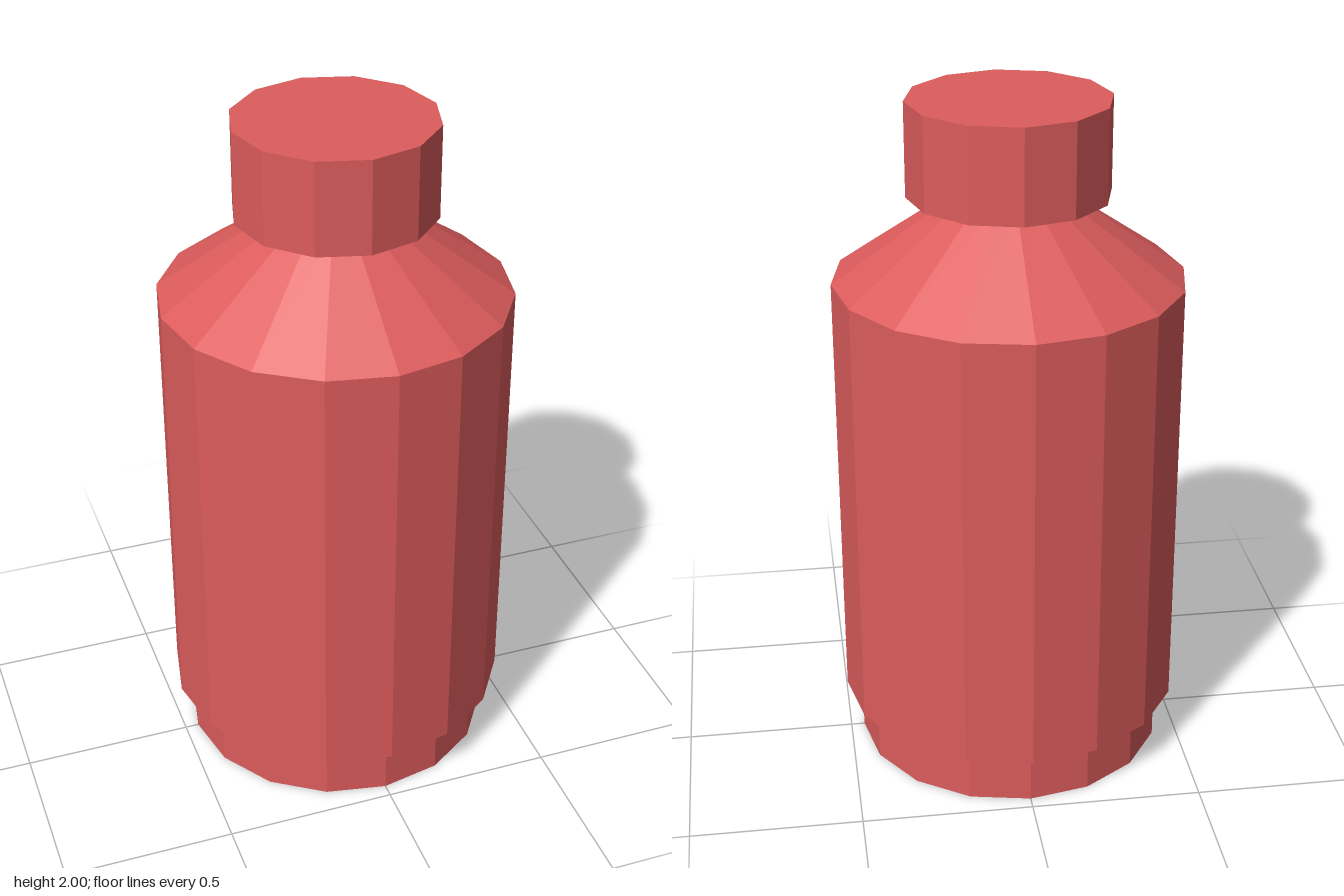
import * as THREE from 'three';

export function createModel() {
  const group = new THREE.Group();
  const red = new THREE.MeshStandardMaterial({ color: 0xdd5c5c });
  red.name = 'canister red';
  red.flatShading = true;

  // Faceted cylinder or cone frustum spanning y0..y1
  function addSection(name, rBottom, rTop, y0, y1, sides) {
    const geometry = new THREE.CylinderGeometry(rTop, rBottom, y1 - y0, sides);
    const mesh = new THREE.Mesh(geometry, red);
    mesh.name = name;
    mesh.position.y = (y0 + y1) / 2;
    group.add(mesh);
  }

  addSection('footRing', 0.46, 0.46, 0, 0.16, 16);
  addSection('body', 0.507, 0.507, 0.16, 1.48, 16);
  addSection('shoulder', 0.507, 0.15, 1.48, 1.73, 16);
  addSection('cap', 0.291, 0.291, 1.727, 2, 12);

  return group;
}
